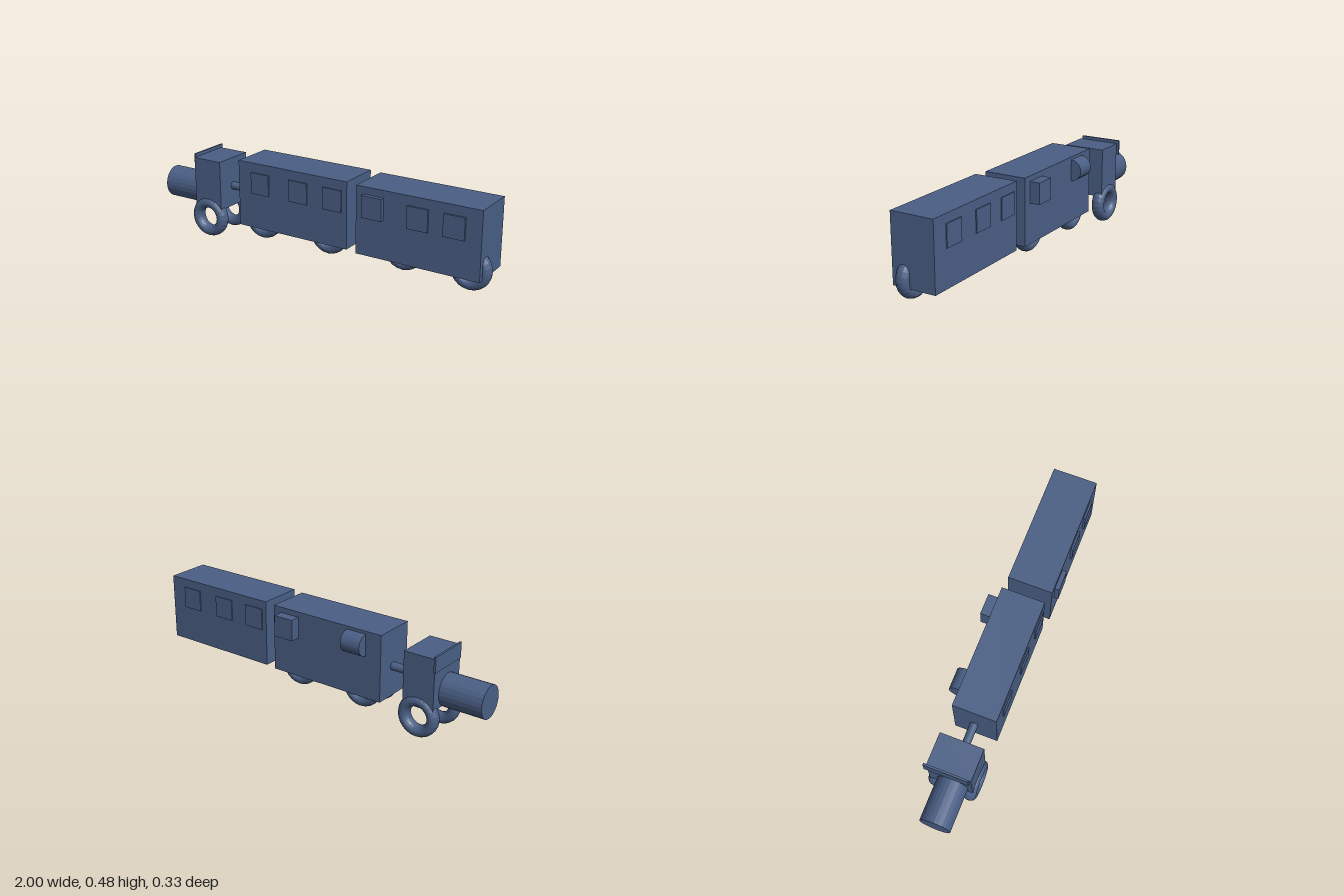
import * as THREE from 'three';

const paint = new THREE.MeshStandardMaterial({ color: 0x4a5f85, flatShading: true });

export function createModel() {
  const train = new THREE.Group();
  train.name = 'toyTrain';

  function add(parent, name, geometry, x, y, z) {
    const mesh = new THREE.Mesh(geometry, paint);
    mesh.name = name;
    mesh.position.set(x, y, z);
    parent.add(mesh);
    return mesh;
  }

  // Box given by its limits on each axis
  function box(parent, name, [x0, x1], [y0, y1], [z0, z1]) {
    return add(parent, name, new THREE.BoxGeometry(x1 - x0, y1 - y0, z1 - z0),
      (x0 + x1) / 2, (y0 + y1) / 2, (z0 + z1) / 2);
  }

  // Cylinder lying along x
  function rod(parent, name, x0, x1, y, z, radius) {
    const geometry = new THREE.CylinderGeometry(radius, radius, x1 - x0, 24).rotateZ(Math.PI / 2);
    return add(parent, name, geometry, (x0 + x1) / 2, y, z);
  }

  // Ring wheel in the xy plane, slightly wider than its rim is thick
  function wheel(parent, x, y, z, outer) {
    const geometry = new THREE.TorusGeometry(outer - 0.03, 0.03, 16, 24).scale(1, 1, 1.2);
    return add(parent, 'wheel', geometry, x, y, z);
  }

  function group(name) {
    const g = new THREE.Group();
    g.name = name;
    train.add(g);
    return g;
  }

  // Engine: boiler, cab, windscreen and two large wheels
  const engine = group('engine');
  rod(engine, 'boiler', -1, -0.74, 0.244, 0.011, 0.088).scale.z = 0.94;
  box(engine, 'cab', [-0.767, -0.593], [0.17, 0.445], [-0.117, 0.117]);
  box(engine, 'windscreen', [-0.778, -0.767], [0.38, 0.463], [-0.13, 0.105]);
  wheel(engine, -0.684, 0.114, 0.097, 0.112);
  wheel(engine, -0.676, 0.116, -0.095, 0.112);

  rod(train, 'coupling', -0.6, -0.45, 0.284, 0.003, 0.022);

  // Middle carriage
  const middle = group('middleCarriage');
  box(middle, 'carriageBody', [-0.455, 0.219], [0.122, 0.484], [-0.108, 0.127]);
  for (const x of [-0.372, -0.132, 0.076]) {
    box(middle, 'frontWindow', [x, x + 0.113], [0.316, 0.432], [0.12, 0.134]);
  }
  box(middle, 'rearHatch', [0.056, 0.171], [0.34, 0.455], [-0.163, -0.1]);
  rod(middle, 'rearDrum', -0.364, -0.25, 0.41, -0.108, 0.058);
  for (const [x, z] of [[-0.34, 0.06], [-0.32, -0.06], [0.076, 0.06], [0.088, -0.043]]) {
    wheel(middle, x, 0.157, z, 0.108);
  }

  // Last carriage
  const last = group('lastCarriage');
  box(last, 'carriageBody', [0.283, 0.963], [0.122, 0.484], [-0.098, 0.143]);
  for (const [x, y, z] of [[0.326, 0.329, 0.167], [0.572, 0.318, 0.154], [0.766, 0.318, 0.154]]) {
    box(last, 'frontWindow', [x, x + 0.113], [y, y + 0.116], [0.13, z]);
  }
  for (const x of [0.309, 0.523, 0.757]) {
    box(last, 'rearWindow', [x, x + 0.115], [0.32, 0.437], [-0.104, -0.09]);
  }
  wheel(last, 0.505, 0.157, 0.04, 0.108);
  wheel(last, 0.89, 0.157, 0.081, 0.108);

  return train;
}
